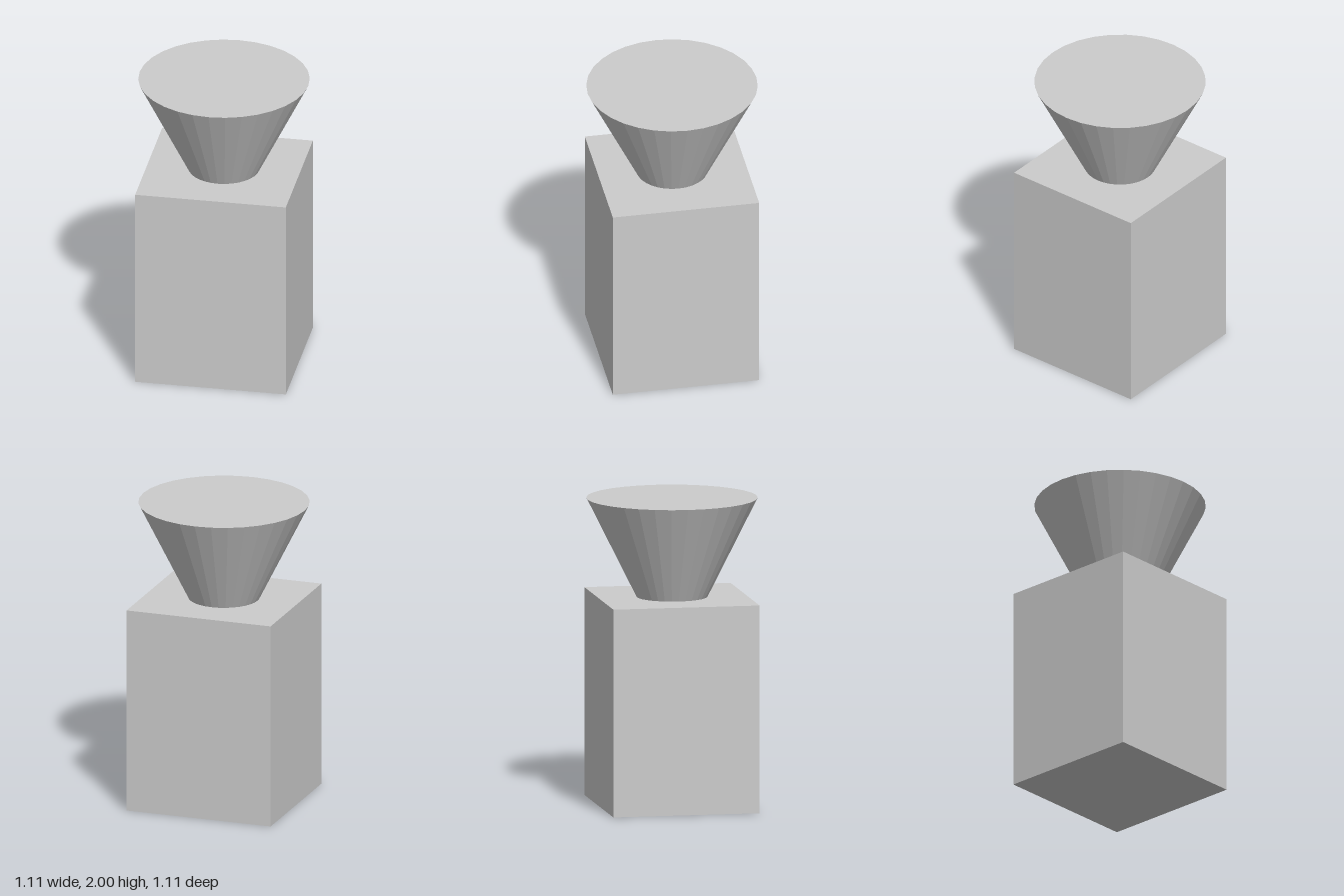
import * as THREE from 'three';

export function createModel() {
  const model = new THREE.Group();
  const material = new THREE.MeshStandardMaterial({ color: 0xcccccc, flatShading: true });
  const bodyHeight = 1.355;
  const totalHeight = 2;

  const addPart = (name, geometry, y) => {
    const mesh = new THREE.Mesh(geometry, material);
    mesh.name = name;
    mesh.position.y = y;
    model.add(mesh);
  };

  // Rectangular block standing on the ground
  addPart('body', new THREE.BoxGeometry(0.988, bodyHeight, 0.96), bodyHeight / 2);

  // Closed cone frustum, widening upwards from the top of the block
  const flareHeight = totalHeight - bodyHeight;
  addPart('flare', new THREE.CylinderGeometry(0.553, 0.23, flareHeight, 32), bodyHeight + flareHeight / 2);

  return model;
}
